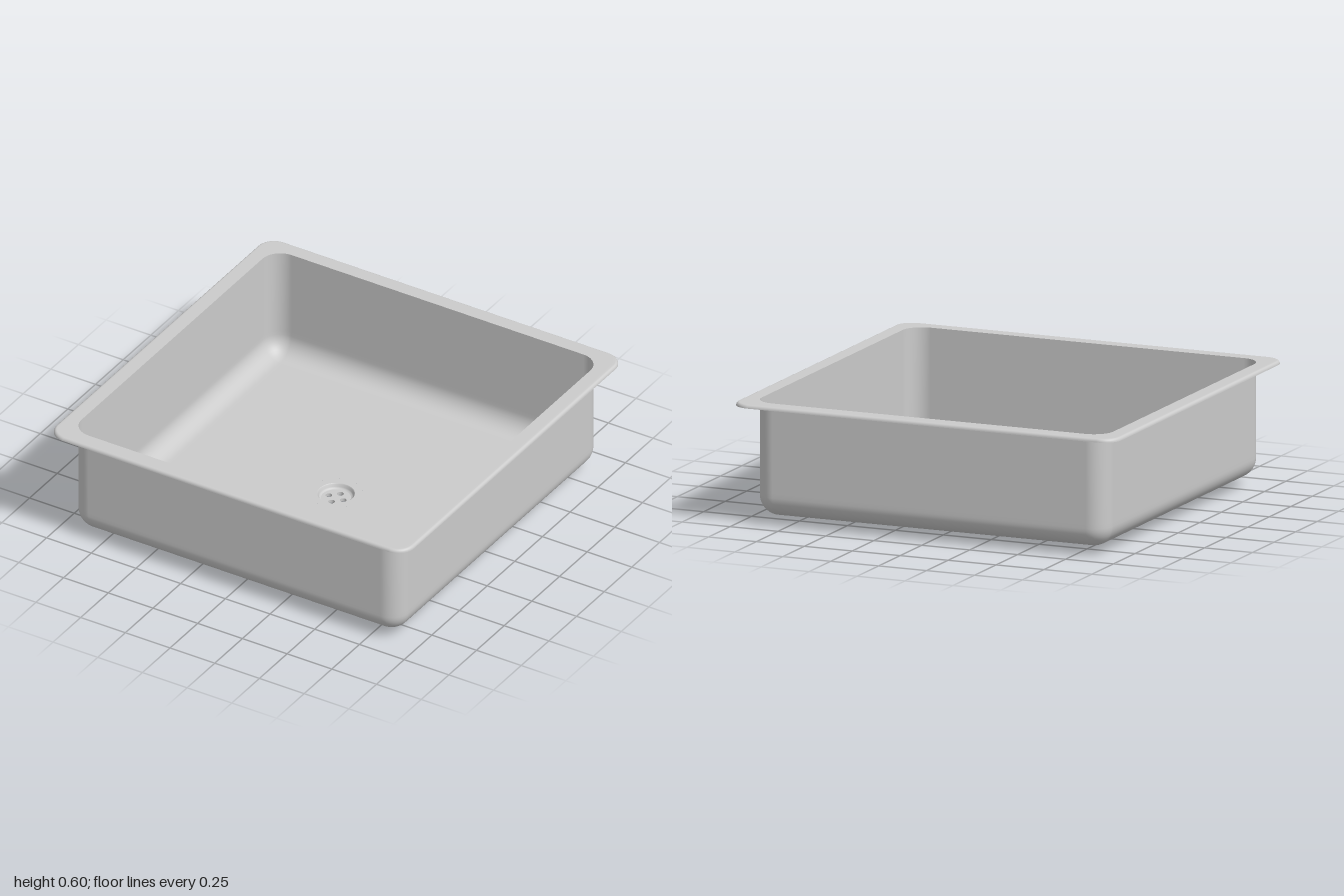
import * as THREE from 'three';

const steel = new THREE.MeshStandardMaterial({ color: 0xcccccc, side: THREE.DoubleSide });
const FLOOR = 0.04, WALL = 0.917, CORNER = 0.1, DRAIN = 0.127;

// Points of a rounded square at one height
function roundedSquare(half, radius, y, steps = 10) {
  const points = [], c = half - radius;
  for (let q = 0; q < 4; q++) {
    const mid = (q + 0.5) * Math.PI / 2;
    const cx = Math.sign(Math.cos(mid)) * c, cz = Math.sign(Math.sin(mid)) * c;
    for (let i = 0; i <= steps; i++) {
      const a = (q + i / steps) * Math.PI / 2;
      points.push(new THREE.Vector3(cx + radius * Math.cos(a), y, cz + radius * Math.sin(a)));
    }
  }
  return points;
}

// Skin through closed loops, listed from the outside in
function skin(loops) {
  const n = loops[0].length, index = [];
  for (let i = 0; i < loops.length - 1; i++) {
    for (let j = 0; j < n; j++) {
      const a = i * n + j, b = i * n + (j + 1) % n;
      index.push(a, a + n, b, b, a + n, b + n);
    }
  }
  const geometry = new THREE.BufferGeometry().setFromPoints(loops.flat());
  geometry.setIndex(index);
  geometry.computeVertexNormals();
  return geometry;
}

function circle(radius, x = 0, y = 0) {
  return new THREE.Path().absarc(x, y, radius, 0, Math.PI * 2, true);
}

function flat(shape, y) {
  return new THREE.ShapeGeometry(shape, 32).rotateX(-Math.PI / 2).translate(0, y, 0);
}

function lathe(profile) {
  return new THREE.LatheGeometry(profile.map(([r, y]) => new THREE.Vector2(r, y)), 48);
}

export function createModel() {
  const model = new THREE.Group();
  model.name = 'sinkBasin';
  const add = (name, geometry, parent = model) => {
    const mesh = new THREE.Mesh(geometry, steel);
    mesh.name = name;
    parent.add(mesh);
    return mesh;
  };

  // Flat rim with a small rolled-down outer lip
  const rim = [];
  for (let i = 0; i <= 6; i++) {
    const a = i / 6 * Math.PI / 2, inset = 0.015 * (1 - Math.cos(a));
    rim.push(roundedSquare(1 - inset, 0.09 - inset, 0.583 + 0.017 * Math.sin(a)));
  }
  rim.push(roundedSquare(0.975, 0.08, 0.6), roundedSquare(WALL, CORNER, 0.6));
  add('rim', skin(rim));

  // Walls with a rounded transition into the floor
  const bowl = [roundedSquare(WALL, CORNER, 0.6), roundedSquare(WALL, CORNER, 0.16)];
  const bend = 0.098;
  for (let i = 0; i <= 10; i++) {
    const a = i / 10 * Math.PI / 2, inset = bend * (1 - Math.cos(a));
    bowl.push(roundedSquare(WALL - inset, CORNER - inset, FLOOR + bend * (1 - Math.sin(a))));
  }
  bowl.push(roundedSquare(WALL - bend - 0.02, 0.002, FLOOR));
  add('bowlWalls', skin(bowl));

  // Floor with the drain opening
  const h = WALL - bend - 0.02;
  const floor = new THREE.Shape([[-h, -h], [h, -h], [h, h], [-h, h]].map(([x, y]) => new THREE.Vector2(x, y)));
  floor.holes.push(circle(DRAIN));
  add('floor', flat(floor, FLOOR));

  // Drain: flange, recessed cup and perforated plate
  const drain = new THREE.Group();
  drain.name = 'drain';
  model.add(drain);
  add('drainFlange', lathe([[DRAIN, FLOOR], [0.09, FLOOR]]), drain);
  add('drainCup', lathe([[0.09, FLOOR], [0.086, 0.036], [0.083, 0.024], [0.079, 0.018], [0.072, 0.015]]), drain);
  const plate = new THREE.Shape().absarc(0, 0, 0.072, 0, Math.PI * 2, false);
  for (let i = 0; i < 4; i++) {
    const x = 0.04 * Math.cos(i * Math.PI / 2), z = 0.04 * Math.sin(i * Math.PI / 2);
    plate.holes.push(circle(0.016, x, -z));
    // Short outlet tube below each hole
    const tube = add('drainOutlet', new THREE.CylinderGeometry(0.016, 0.016, 0.015, 24, 1, true), drain);
    tube.position.set(x, 0.0075, z);
  }
  add('drainPlate', flat(plate, 0.015), drain);

  return model;
}
